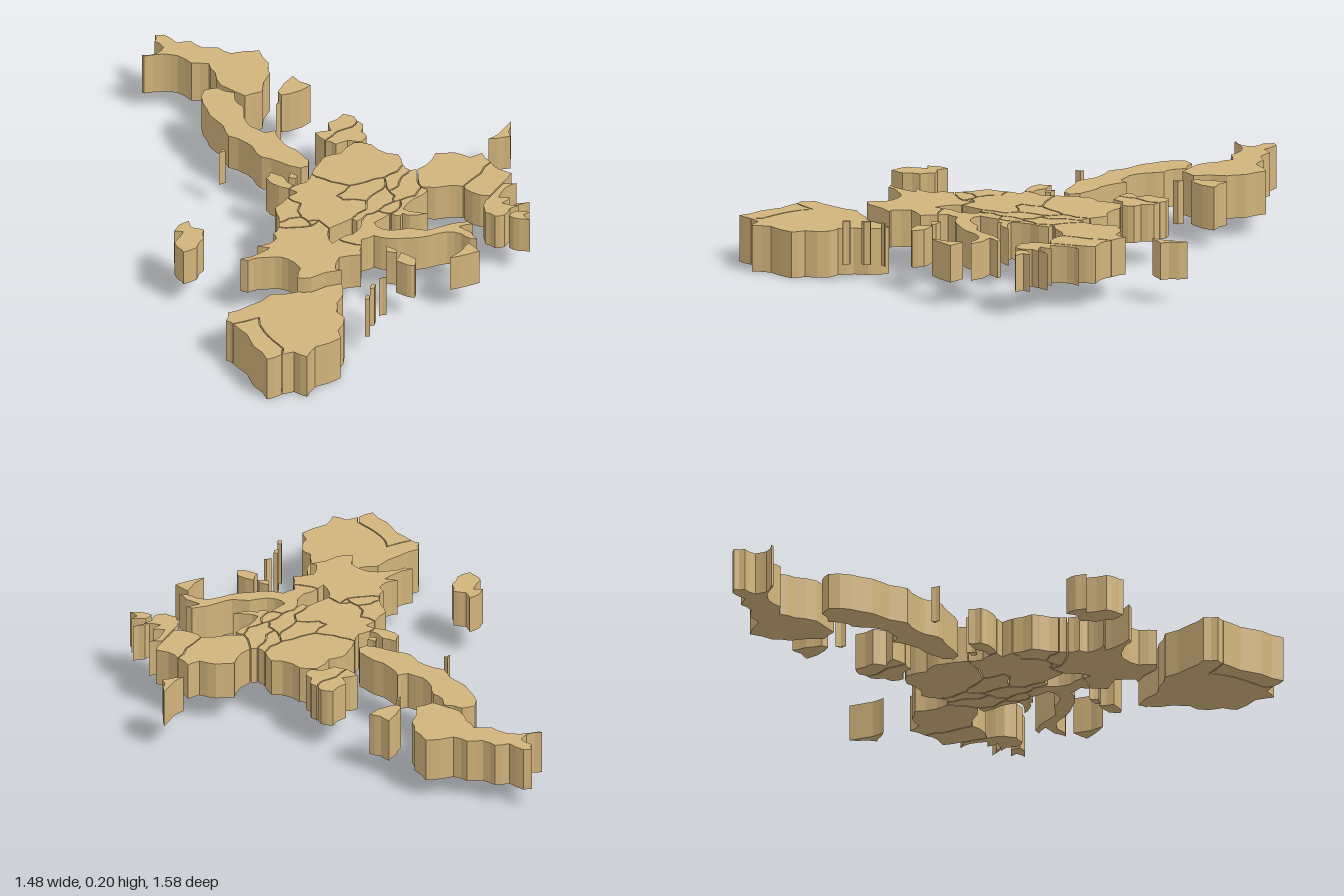
import * as THREE from 'three';

// Land outlines in hundredths of a unit: x, z, x, z ...
// Neighbours share border points; the inset below opens the gap between them.
const IBERIA = {
  spain: [-91, 36, -87, 33.5, -80, 36, -70, 37.5, -64, 43, -61, 46.5, -51.5, 51, -53, 53, -61, 57, -65, 60, -66, 64,
    -73, 67, -76, 70.5, -85, 67.5, -91, 69, -91.5, 64, -95, 62, -92, 60, -90.5, 55, -88, 49, -83, 43, -91, 39],
  portugal: [-91, 39, -83, 43, -88, 49, -90.5, 55, -92, 60, -95, 62, -100.2, 60, -97, 52, -93, 46],
};
const NORTHEAST = {
  finland: [16, -79.2, 18, -77, 17, -71, 20.5, -68, 20, -63, 23, -59, 23, -54, 29.8, -48, 26, -41, 21.6, -37, 12, -32.3,
    6.5, -35, 6.5, -45, 11, -51, 13.6, -55.5, 10.4, -60, 11, -66, 9, -70, 4.2, -74, 4.5, -75.3, 8.5, -72, 12, -72.5, 13, -77],
  estonia: [14, -26.5, 15, -29, 20, -30.5, 25, -31, 24, -27, 24.5, -23, 20, -23.3, 16, -25],
  estonianIsle: [8.7, -24.5, 12, -26.2, 11, -24],
  balearicWest: [-60, 67, -57.5, 65.5, -57, 67, -59, 68.5],
  balearicMiddle: [-54.5, 64.5, -51.5, 63, -51, 64.5, -53, 65.5],
  balearicEast: [-48.3, 63, -46, 63.5, -46, 64.8],
};
const MAINLAND = {
  sweden: [1, -47.5, 5, -45, 6.3, -39, 3, -36, 2, -32, -2.5, -28, -5.5, -23, -5.5, -17.5, -2.5, -15.5, -5, -12, -7, -7,
    -8, 0, -9, 3.5, -12, 5.8, -14.5, 4.5, -16, -3, -17.3, -9, -16, -13, -14, -18, -14.5, -25, -11, -30, -9, -37, -5, -43],
  northSeaIsle: [-24, -21, -21, -22, -21.5, -20],
  latvia: [2.5, .3, 4, -5, 8.3, -2, 11, -5.5, 18, -5, 19.2, -1, 18, 1, 14, 2, 9, 0],
  lithuania: [2.5, .3, 9, 0, 14, 2, 18, 1, 17.5, 4, 14, 6, 13, 9, 9, 9.7, 7, 6, 3, 4.5],
  denmark: [-27, 2, -26, -.5, -22, -2, -21.3, 3, -23, 6, -23, 9, -26, 9],
  danishIsle: [-21, 4.5, -18, 3, -18, 6.5, -20, 7],
  ireland: [-75, 6, -74, 3, -72.3, 0, -66, -1.5, -67.5, -4, -64, -5.2, -59.7, -4, -62, -1, -60.7, 3, -64.5, 6.2, -70, 7.7],
  netherlands: [-43, 18.5, -39, 14, -37, 12, -30, 11.5, -30, 17, -34, 19, -36, 22, -39, 19.5],
  belgium: [-45, 20, -43, 18.5, -39, 19.5, -36, 22, -36.5, 25, -38, 27.5, -42, 24],
  luxembourg: [-36.5, 25, -34, 27.5, -38, 27.5],
  germany: [-30, 11.5, -26, 12, -26, 9, -23, 9, -19.5, 10.5, -15, 9, -14.5, 14, -13.5, 19, -12.5, 22.5, -19.5, 23,
    -20, 26, -16, 32, -19.5, 35, -27, 35, -35.5, 33, -34, 27.5, -36.5, 25, -36, 22, -34, 19, -30, 17],
  france: [-45, 20, -49, 21, -50.5, 23.5, -54, 23.5, -57.5, 21.5, -56, 25.3, -60, 24.7, -66.7, 22, -66, 24.8, -62, 27,
    -59, 30, -57.5, 34, -59, 40, -64, 43, -61, 46.5, -51.5, 51, -52, 49, -46.5, 46, -41, 50.3, -36.5, 47, -38, 43,
    -38.5, 39, -41.5, 39, -38.5, 35, -35.5, 33, -34, 27.5, -38, 27.5, -42, 24],
  poland: [-15, 9, -8, 6.7, -4, 6, 0, 8.5, 7.5, 8, 10.3, 13, 9.5, 20, 11.2, 23, 7.5, 28, 3, 29, -2, 28, -8, 25,
    -12.5, 22.5, -13.5, 19, -14.5, 14],
  czechia: [-19.5, 23, -12.5, 22.5, -8, 25, -2, 28, -5, 31, -10, 31.5, -16, 32, -20, 26],
  slovakia: [-2, 28, 3, 29, 7.5, 28, 6.5, 31.5, 2, 32, -3, 34.5, -7, 34, -5, 31],
  austria: [-27, 35, -19.5, 35, -16, 32, -10, 31.5, -5, 31, -7, 34, -8, 37, -11, 39, -18, 38.5, -22, 37, -27, 37.3],
  hungary: [-7, 34, -3, 34.5, 2, 32, 6.5, 31.5, 8, 33, 4, 36.5, 1, 40.5, -4, 42, -9, 40, -11, 39, -8, 37],
  slovenia: [-18, 38.5, -11, 39, -9, 40, -12, 42.5, -17, 42.5],
  croatia: [-17, 42.5, -12, 42.5, -9, 40, -4, 42, 1, 40.5, 1, 43.5, -6, 43, -12, 44, -11, 48, -9, 51.5, -14, 48,
    -14.5, 45.5, -16, 46],
  romania: [8, 33, 12, 33.5, 19, 31.5, 23, 36, 24, 41.5, 28.2, 43, 26, 48.5, 19, 50, 9.5, 50.5, 7, 47, 1, 40.5, 4, 36.5],
  bulgaria: [9.5, 50.5, 19, 50, 26, 48.5, 24.5, 53, 25.2, 57.5, 19, 59, 10.5, 60.5, 8.5, 55],
  greece: [2.3, 65, 5, 62, 10.5, 60.5, 19, 59, 21.7, 62.5, 17, 61.5, 12, 63, 14, 66, 10, 66, 12, 71, 9, 70, 5, 71, 2.5, 69],
  peloponnese: [5.5, 72, 9, 71.8, 11.5, 76, 9, 75.5, 8, 79, 6, 76],
  aegeanIsle: [10.5, 69, 13, 69.5, 16, 72.3, 13, 71.2],
  italy: [-38.5, 39, -33, 40.5, -29, 40, -26, 38, -22, 37, -18, 38.5, -17, 42.5, -24, 42, -25, 44, -24, 48.5, -19.5, 52,
    -17, 57, -13, 59, -5, 64, -5, 66.5, -9, 64, -9, 69, -11, 73, -12.3, 71, -12, 67, -14, 63, -19.5, 60, -25, 55,
    -28.5, 51, -30, 46.5, -34, 45, -36.5, 47, -38, 43],
  sicily: [-25, 72.8, -20, 73, -14.2, 71.8, -15.7, 77.8, -20, 76],
  sardinia: [-36.7, 60.5, -32, 58.7, -31.8, 65, -35, 67.3, -36.5, 65],
  corsica: [-34.7, 55, -32, 53, -31.7, 57, -33, 58.5],
  cyprus: [35.5, 39.5, 40, 40, 48, 38.7, 43, 42, 41, 44.3, 37.5, 41.7],
};

// Repeatable value in -0.5..0.5, the same whichever way an edge is walked
const jitter = (a, b) => {
  const s = Math.sin((a.x + b.x) * 12.99 + (a.y + b.y) * 78.23) * 4375.85;
  return s - Math.floor(s) - 0.5;
};

// Adds a small kink in each longer edge for an irregular coast
function roughen(points) {
  return points.flatMap((a, i) => {
    const b = points[(i + 1) % points.length];
    if (a.distanceTo(b) < 2.5) return [a];
    const forward = a.x < b.x || (a.x === b.x && a.y < b.y) ? 1 : -1;
    const k = jitter(a, b) * 0.2 * forward;
    return [a, new THREE.Vector2((a.x + b.x) / 2 - (b.y - a.y) * k, (a.y + b.y) / 2 + (b.x - a.x) * k)];
  });
}

// Moves every corner inward along its averaged edge normal
function inset(points, d) {
  const n = points.length;
  return points.map((p, i) => {
    const e1 = p.clone().sub(points[(i + n - 1) % n]).normalize();
    const e2 = points[(i + 1) % n].clone().sub(p).normalize();
    const normal = new THREE.Vector2(-e1.y - e2.y, e1.x + e2.x).normalize();
    return p.clone().addScaledVector(normal, d);
  });
}

function slab(outline, bottom, top, material) {
  let points = [];
  for (let i = 0; i < outline.length; i += 2) points.push(new THREE.Vector2(outline[i], -outline[i + 1]));
  if (THREE.ShapeUtils.isClockWise(points)) points.reverse();
  points = inset(roughen(points), 0.22).map((p) => p.multiplyScalar(0.01));
  const geometry = new THREE.ExtrudeGeometry(new THREE.Shape(points), { depth: top - bottom, bevelEnabled: false });
  geometry.rotateX(-Math.PI / 2).translate(0, bottom, 0);
  return new THREE.Mesh(geometry, material);
}

export function createModel() {
  const model = new THREE.Group();
  model.name = 'continentMap';
  const material = new THREE.MeshStandardMaterial({ color: 0xd2b47c, flatShading: true });
  // Three layers of slabs with their own base and top heights
  const layers = [
    ['iberianLayer', IBERIA, 0, 0.15],
    ['northeastLayer', NORTHEAST, 0.06, 0.2],
    ['mainlandLayer', MAINLAND, 0.08, 0.2],
  ];
  for (const [name, lands, bottom, top] of layers) {
    const layer = new THREE.Group();
    layer.name = name;
    for (const [land, outline] of Object.entries(lands)) {
      const mesh = slab(outline, bottom, top, material);
      mesh.name = land;
      layer.add(mesh);
    }
    model.add(layer);
  }
  return model;
}
